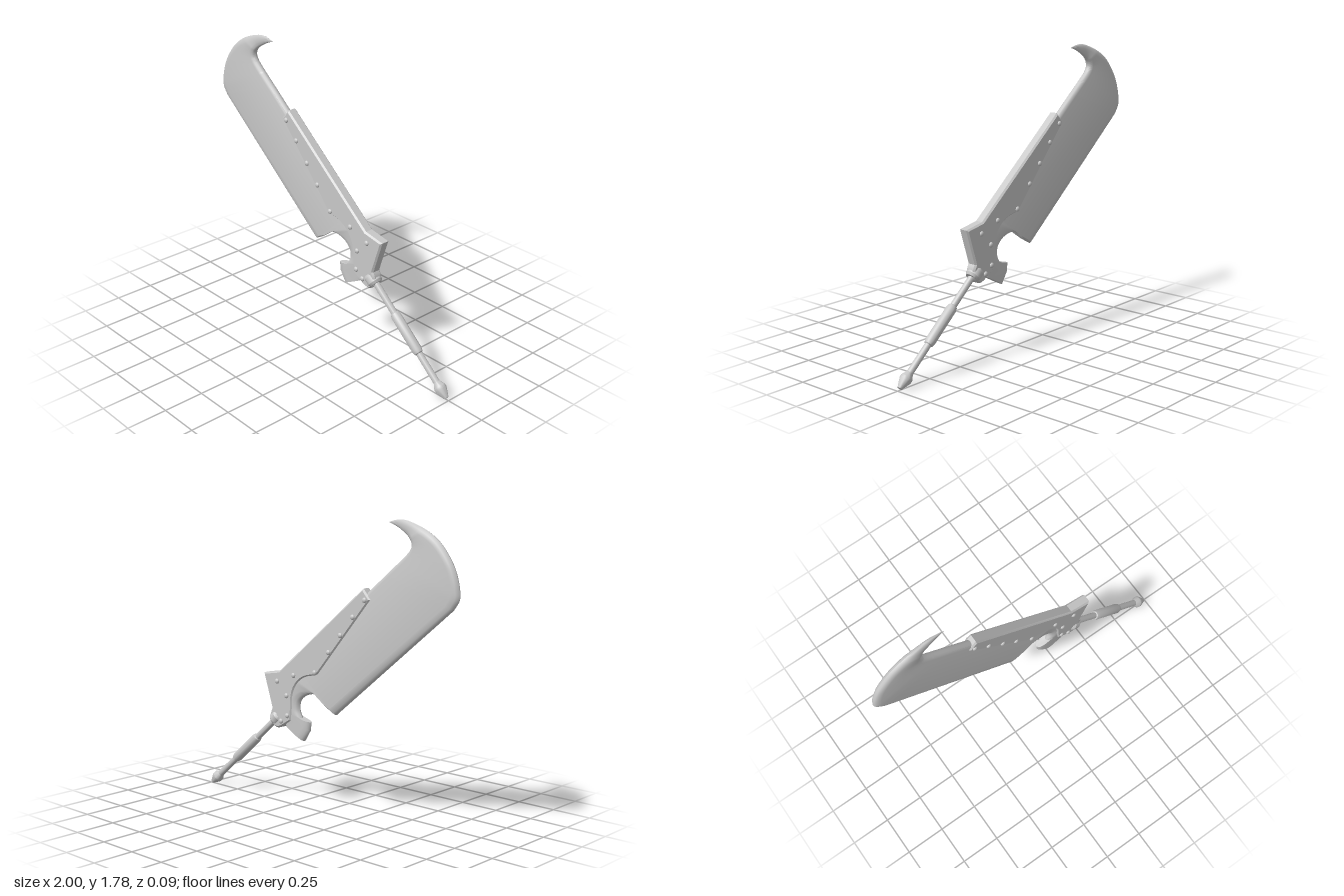
import * as THREE from 'three';
import { toCreasedNormals } from 'three/addons/utils/BufferGeometryUtils.js';

// Each station pairs a point on the cutting edge with one on the spine: [edgeX, edgeY, spineX, spineY]
const HOOK = [
  [-0.51, 1.77, -0.511, 1.768], [-0.56, 1.783, -0.56, 1.75], [-0.62, 1.785, -0.615, 1.72],
  [-0.74, 1.75, -0.655, 1.69], [-0.81, 1.715, -0.672, 1.665], [-0.875, 1.665, -0.675, 1.64],
  [-0.955, 1.56, -0.66, 1.615], [-0.985, 1.49, -0.645, 1.6], [-1, 1.425, -0.62, 1.578],
  [-1, 1.37, -0.58, 1.545], [-0.965, 1.315, -0.5, 1.48],
];
const NOTCH = [
  [-0.12, 0.62, 0.2, 0.9], [-0.055, 0.66, 0.23, 0.87], [-0.02, 0.705, 0.26, 0.84],
  [0.05, 0.722, 0.29, 0.81], [0.125, 0.705, 0.32, 0.78], [0.175, 0.66, 0.34, 0.73],
  [0.182, 0.605, 0.34, 0.67], [0.16, 0.56, 0.33, 0.62],
];
const HORN = [[0.09, 0.545, 0.32, 0.59], [0.095, 0.49, 0.31, 0.56], [0.14, 0.42, 0.29, 0.5]];

// Smooth both rails of a run of stations together
function smooth(stations, n) {
  const rail = (k) => new THREE.CatmullRomCurve3(
    stations.map((s) => new THREE.Vector3(s[k], s[k + 1], 0))).getPoints(n);
  const edge = rail(0), spine = rail(2);
  return edge.map((e, i) => [e.x, e.y, spine[i].x, spine[i].y]);
}

// Loft of rounded cross-sections along the stations
function bladeGeometry() {
  const stations = [...smooth(HOOK, 50), ...smooth(NOTCH, 28), ...HORN];
  const bevel = [[0, 0], [0.12, 0.45], [0.4, 0.8], [1, 1]]; // share of width, share of thickness
  const pos = [], index = [];
  let ring = 0;
  for (const [ex, ey, sx, sy] of stations) {
    const w = Math.hypot(sx - ex, sy - ey);
    const half = 0.025 * Math.min(1, w / 0.12);
    const be = Math.min(0.05, 0.4 * w) / w, bs = Math.min(0.03, 0.4 * w) / w;
    const front = [
      ...bevel.map(([t, z]) => [t * be, z]),
      ...bevel.map(([t, z]) => [1 - t * bs, z]).reverse(),
    ];
    const loop = [...front, ...front.slice(1, -1).reverse().map(([t, z]) => [t, -z])];
    ring = loop.length;
    for (const [t, z] of loop) pos.push(ex + (sx - ex) * t, ey + (sy - ey) * t, z * half);
  }
  for (let i = 0; i < stations.length - 1; i++) {
    for (let j = 0; j < ring; j++) {
      const a = i * ring + j, c = i * ring + (j + 1) % ring;
      index.push(a, a + ring, c, c, a + ring, c + ring);
    }
  }
  const last = (stations.length - 1) * ring;
  for (let k = 1; k < ring - 1; k++) index.push(last, last + k + 1, last + k);
  const g = new THREE.BufferGeometry();
  g.setAttribute('position', new THREE.Float32BufferAttribute(pos, 3));
  g.setIndex(index);
  return toCreasedNormals(g, 0.6);
}

// Chamfered mounting plate with a curved cut and a flared guard
function plateGeometry() {
  const s = new THREE.Shape();
  s.moveTo(-0.345, 1.39);
  s.lineTo(-0.4, 1.33);
  s.lineTo(0.0, 0.862);
  s.quadraticCurveTo(0.02, 0.84, 0.06, 0.836);
  s.bezierCurveTo(0.17, 0.82, 0.235, 0.74, 0.225, 0.62);
  s.lineTo(0.235, 0.535);
  s.lineTo(0.31, 0.49);
  s.quadraticCurveTo(0.365, 0.46, 0.4, 0.505);
  s.quadraticCurveTo(0.425, 0.55, 0.395, 0.595);
  s.lineTo(0.465, 0.81);
  s.lineTo(0.33, 0.835);
  s.closePath();
  const g = new THREE.ExtrudeGeometry(s, {
    depth: 0.046, bevelEnabled: true, bevelThickness: 0.01, bevelSize: 0.01,
    bevelOffset: -0.01, bevelSegments: 1, curveSegments: 10,
  });
  g.translate(0, 0, -0.023);
  return toCreasedNormals(g, 0.5);
}

// Turned shaft: [radius, distance along the shaft]
const lathe = (profile) => toCreasedNormals(
  new THREE.LatheGeometry(profile.map(([r, d]) => new THREE.Vector2(r, d)), 24), 0.5);

export function createModel() {
  const steel = new THREE.MeshStandardMaterial({ color: 0xc8c8c8 });
  steel.name = 'steel';
  const model = new THREE.Group();
  model.name = 'cleaverSword';
  const add = (name, geometry, parent = model) => {
    const mesh = new THREE.Mesh(geometry, steel);
    mesh.name = name;
    parent.add(mesh);
    return mesh;
  };

  add('blade', bladeGeometry());
  add('mountingPlate', plateGeometry());

  // Rivets on both faces
  const rivets = new THREE.Group();
  rivets.name = 'rivets';
  model.add(rivets);
  const dome = new THREE.SphereGeometry(0.016, 14, 10);
  const spots = [
    [-0.36, 1.325], [-0.27, 1.22], [-0.175, 1.105], [-0.082, 0.995], [0.03, 0.861],
    [0.205, 0.823], [0.345, 0.77], [0.265, 0.69], [0.26, 0.566], [0.313, 0.524],
  ];
  for (const [x, y] of spots) {
    for (const side of [1, -1]) {
      const rivet = add('rivet', dome, rivets);
      rivet.position.set(x, y, side * 0.033);
      rivet.scale.z = 0.7;
    }
  }

  // Handle, laid out along its own axis from the plate outwards
  const handle = new THREE.Group();
  handle.name = 'handle';
  handle.position.set(0.38, 0.53, 0);
  handle.rotation.z = -Math.PI / 2 - Math.atan2(0.276, 0.322);
  model.add(handle);
  add('collar', lathe([[0, -0.045], [0.036, -0.045], [0.046, -0.03], [0.046, 0.01], [0.036, 0.025], [0, 0.025]]), handle);
  add('rod', lathe([[0, -0.04], [0.02, -0.04], [0.02, 0.71], [0, 0.71]]), handle);
  add('grip', lathe([[0.02, 0.225], [0.026, 0.23], [0.031, 0.25], [0.031, 0.475], [0.026, 0.495], [0.02, 0.5]]), handle);
  add('pommel', lathe([[0.02, 0.69], [0.036, 0.722], [0.036, 0.738], [0.014, 0.795], [0, 0.797]]), handle);
  return model;
}
